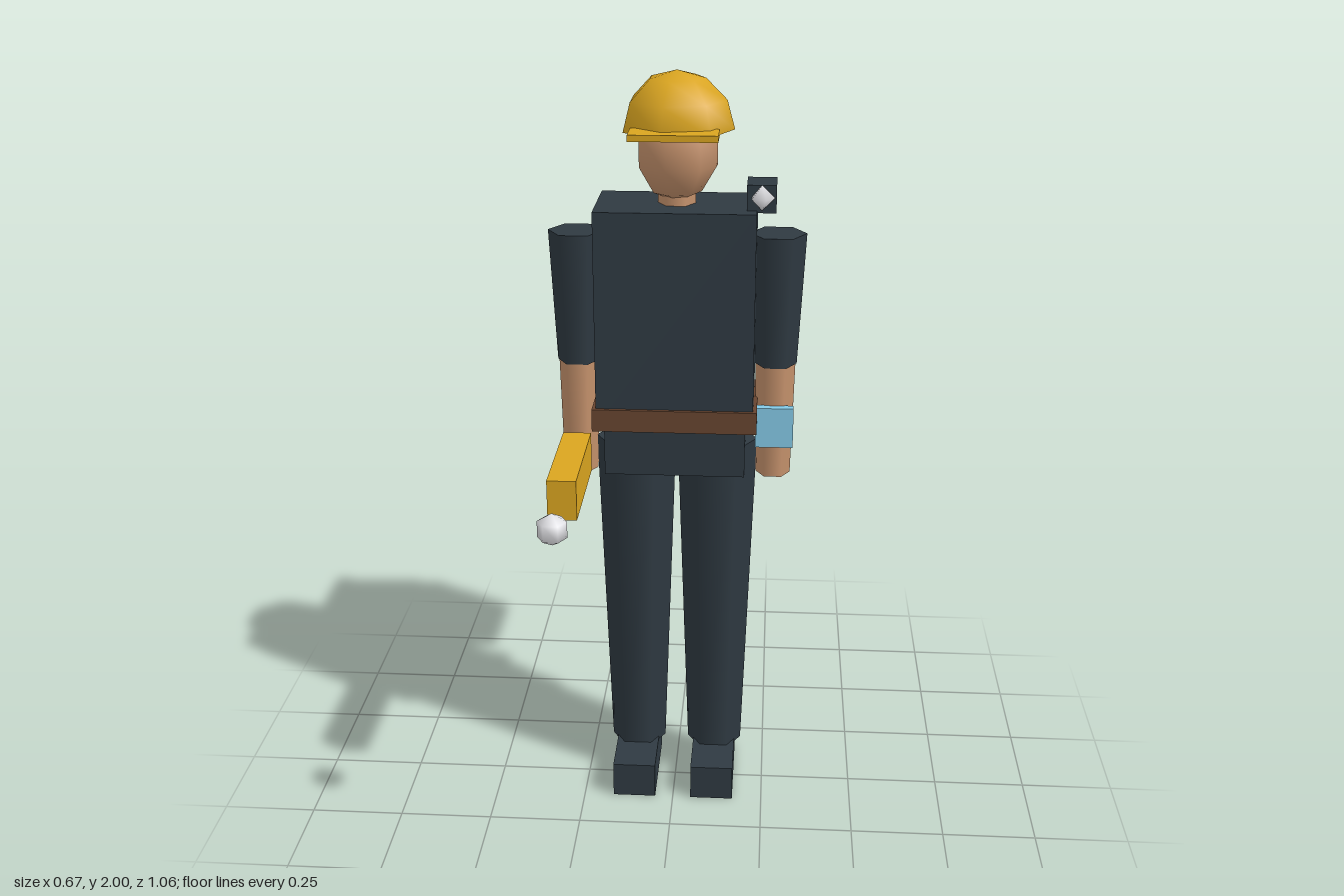
import * as THREE from 'three';

export function createModel() {
  const model = new THREE.Group();
  model.name = 'worker';

  const mat = (name, color) => new THREE.MeshStandardMaterial({ name, color });
  const cloth = mat('dark cloth', 0x2f3a42);
  const skin = mat('skin', 0xc8946e);
  const yellow = mat('safety yellow', 0xdaa520);
  const crate = mat('pack brown', 0x8b6540);
  const leather = mat('belt leather', 0x684530);
  const screen = mat('screen blue', 0x87ceeb);
  const lamp = mat('lamp white', 0xe6e6ea);

  const BODY_Z = -0.065;

  const add = (name, geometry, material, x, y, z) => {
    const mesh = new THREE.Mesh(geometry, material);
    mesh.name = name;
    mesh.position.set(x, y, z);
    model.add(mesh);
    return mesh;
  };
  // Box given by its size and centre
  const box = (name, material, w, h, d, x, y, z) =>
    add(name, new THREE.BoxGeometry(w, h, d), material, x, y, z);
  // Six-sided tapered limb with corners pointing to the sides
  const limb = (name, material, rTop, rBottom, yTop, yBottom, x) =>
    add(name, new THREE.CylinderGeometry(rTop, rBottom, yTop - yBottom, 6, 1, false, Math.PI / 2),
      material, x, (yTop + yBottom) / 2, BODY_Z);

  // Trunk
  box('torso', cloth, 0.41, 0.57, 0.24, 0, 1.385, BODY_Z);
  box('hips', cloth, 0.37, 0.17, 0.214, 0, 1.045, BODY_Z);
  box('belt', leather, 0.43, 0.06, 0.26, 0, 1.12, BODY_Z);

  // Arms, legs and boots
  for (const [side, s] of [['left', 1], ['right', -1]]) {
    limb(side + 'Sleeve', cloth, 0.073, 0.056, 1.595, 1.245, s * 0.26);
    limb(side + 'Forearm', skin, 0.053, 0.046, 1.26, 0.935, s * 0.26);
    limb(side + 'Leg', cloth, 0.107, 0.076, 1.03, 0.09, s * 0.109);
    box(side + 'Boot', cloth, 0.118, 0.1, 0.28, s * 0.109, 0.05, -0.02);
  }

  // Neck and head
  limb('neck', skin, 0.048, 0.048, 1.74, 1.65, 0);
  const head = add('head', new THREE.SphereGeometry(0.108, 7, 5), skin, 0, 1.81, BODY_Z + 0.003);
  head.scale.y = 1.25;
  head.rotation.y = Math.PI;

  // Hard hat: dome, underside and peak
  const R = 0.145, HAT_Y = 1.857;
  add('hatDome', new THREE.SphereGeometry(R, 7, 3, 0, Math.PI * 2, 0, Math.PI / 2),
    yellow, 0, HAT_Y, BODY_Z).rotation.y = Math.PI;
  add('hatUnderside', new THREE.CircleGeometry(R, 7), yellow, 0, HAT_Y, BODY_Z).rotation.x = Math.PI / 2;
  box('hatPeak', yellow, 0.22, 0.016, 0.09, 0, 1.865, 0.064);

  // Backpack
  box('backpack', crate, 0.368, 0.39, 0.283, 0, 1.335, -0.391);

  // Wrist display
  box('wristDisplay', screen, 0.1, 0.11, 0.025, 0.261, 1.085, -0.012);

  // Shoulder lamp
  box('shoulderLampHousing', cloth, 0.074, 0.07, 0.096, 0.216, 1.7, -0.033);
  add('shoulderLampBulb', new THREE.SphereGeometry(0.032, 5, 2), lamp, 0.217, 1.705, 0.022).rotation.y = Math.PI;

  // Hand torch and its bulb
  box('torchBody', yellow, 0.074, 0.106, 0.325, -0.261, 1.01, 0.172);
  add('torchBulb', new THREE.SphereGeometry(0.042, 6, 3), lamp, -0.262, 1.01, 0.5);

  return model;
}
